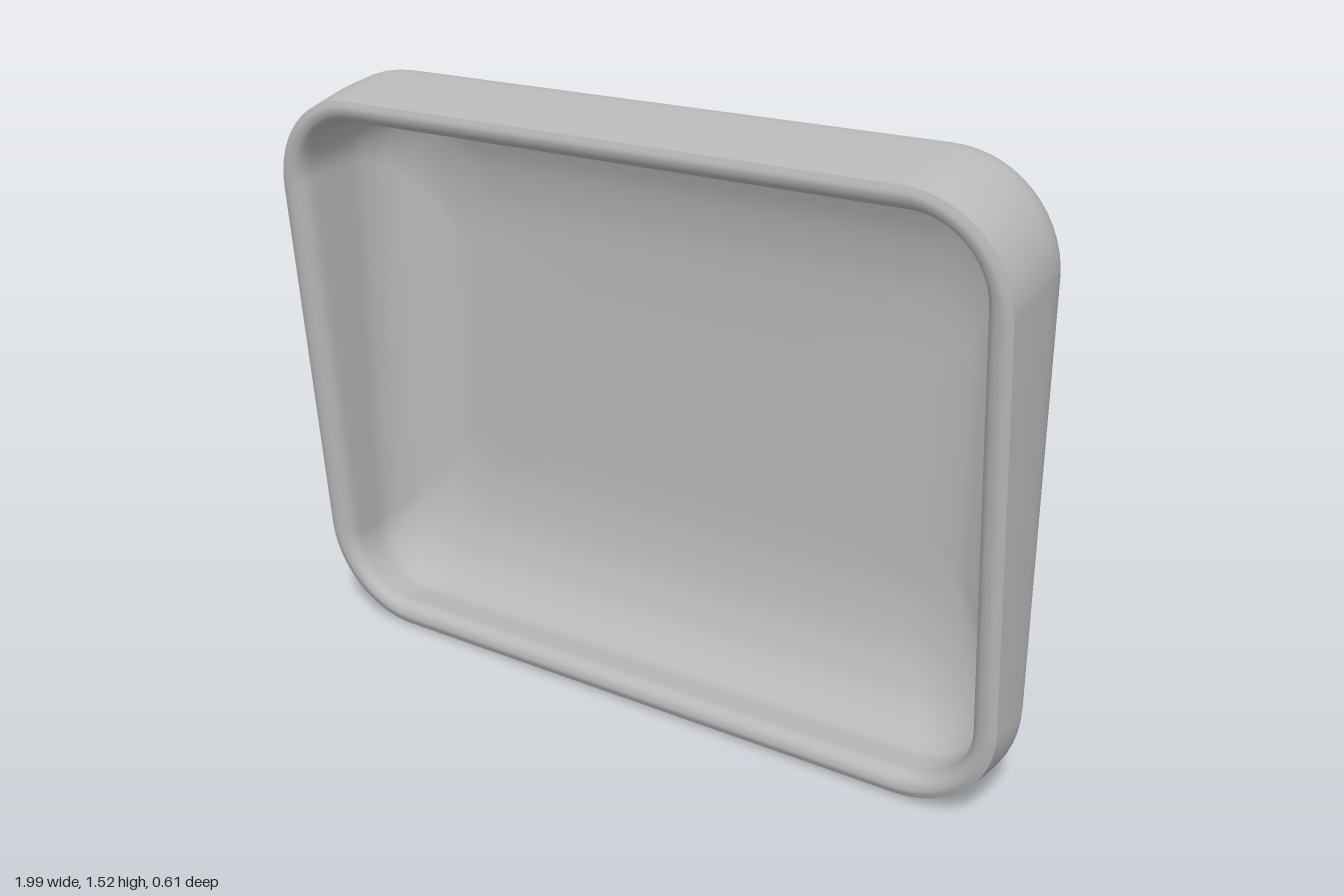
import * as THREE from 'three';

// Cross-sections from front to back: [z, half width, top, bottom, corner radius, lean of z with height]
const OUTER = [
  [0.165, 0.987, 1.475, 0.012, 0.25, 0.088],
  [0.08, 0.99, 1.5, 0.005, 0.25, 0.06],
  [0.0, 0.988, 1.517, 0.001, 0.25, 0.02],
  [-0.05, 0.975, 1.503, 0.011, 0.25, 0],
  [-0.1, 0.95, 1.474, 0.035, 0.25, 0],
  [-0.15, 0.91, 1.43, 0.08, 0.24, 0],
  [-0.2, 0.85, 1.36, 0.17, 0.22, 0],
  [-0.235, 0.78, 1.25, 0.28, 0.18, 0],
  [-0.25, 0.7, 1.13, 0.39, 0.15, 0],
  [-0.257, 0.4, 0.95, 0.57, 0.08, 0],
  [-0.258, 0.002, 0.762, 0.758, 0.001, 0],
];
const INNER = [
  [0.165, 0.987, 1.475, 0.012, 0.25, 0.088],
  [0.172, 0.965, 1.455, 0.031, 0.23, 0.088],
  [0.165, 0.94, 1.434, 0.052, 0.2, 0.088],
  [0.14, 0.922, 1.42, 0.068, 0.17, 0.085],
  [0.08, 0.92, 1.425, 0.066, 0.17, 0.06],
  [0.0, 0.92, 1.438, 0.063, 0.18, 0.02],
  [-0.06, 0.9, 1.42, 0.085, 0.18, 0],
  [-0.11, 0.86, 1.37, 0.14, 0.17, 0],
  [-0.155, 0.79, 1.27, 0.24, 0.15, 0],
  [-0.18, 0.7, 1.14, 0.38, 0.13, 0],
  [-0.187, 0.4, 0.95, 0.57, 0.08, 0],
  [-0.188, 0.002, 0.762, 0.758, 0.001, 0],
];

// Smooth interpolation through the cross-section values
function refine(rows, steps) {
  const curve = (k) => new THREE.CatmullRomCurve3(
    rows.map((r) => new THREE.Vector3(r[k], r[k + 1], r[k + 2])), false, 'catmullrom', 0.4);
  const a = curve(0), b = curve(3), out = [];
  const n = (rows.length - 1) * steps;
  for (let i = 0; i <= n; i++) out.push([...a.getPoint(i / n).toArray(), ...b.getPoint(i / n).toArray()]);
  return out;
}

// Rounded rectangle loop, counter-clockwise seen from the front
function ring([z, hw, top, bottom, r, lean], arc = 14) {
  const cy = (top + bottom) / 2, hh = (top - bottom) / 2, pts = [];
  for (let q = 0; q < 4; q++) {
    const sx = q === 0 || q === 3 ? 1 : -1, sy = q < 2 ? 1 : -1;
    for (let k = 0; k <= arc; k++) {
      const t = (q + k / arc) * Math.PI / 2;
      const y = cy + sy * (hh - r) + r * Math.sin(t);
      pts.push([sx * (hw - r) + r * Math.cos(t), y, z + lean * (y - 0.76)]);
    }
  }
  return pts;
}

function loft(rows, inward) {
  const rings = refine(rows, 4).map((r) => ring(r));
  const n = rings[0].length, index = [];
  for (let i = 0; i < rings.length - 1; i++) {
    for (let j = 0; j < n; j++) {
      const a = i * n + j, b = i * n + (j + 1) % n, c = b + n, d = a + n;
      if (inward) index.push(a, b, d, b, c, d);
      else index.push(a, d, b, b, d, c);
    }
  }
  const geo = new THREE.BufferGeometry();
  geo.setAttribute('position', new THREE.Float32BufferAttribute(rings.flat(2), 3));
  geo.setIndex(index);
  geo.computeVertexNormals();
  return geo;
}

export function createModel() {
  const grey = new THREE.MeshStandardMaterial({ color: 0xb8b8b8, side: THREE.DoubleSide });
  grey.name = 'plain grey';
  const group = new THREE.Group();
  group.name = 'roundedTray';

  // Outer shell with a softly rounded back
  const shell = new THREE.Mesh(loft(OUTER, false), grey);
  shell.name = 'outerShell';

  // Rolled lip running into the hollow inside
  const hollow = new THREE.Mesh(loft(INNER, true), grey);
  hollow.name = 'lipAndHollow';

  // The whole tray is turned slightly to one side
  const tray = new THREE.Group();
  tray.name = 'tray';
  tray.add(shell, hollow);
  tray.rotation.y = -0.085;
  tray.position.x = 0.006;
  group.add(tray);
  return group;
}
